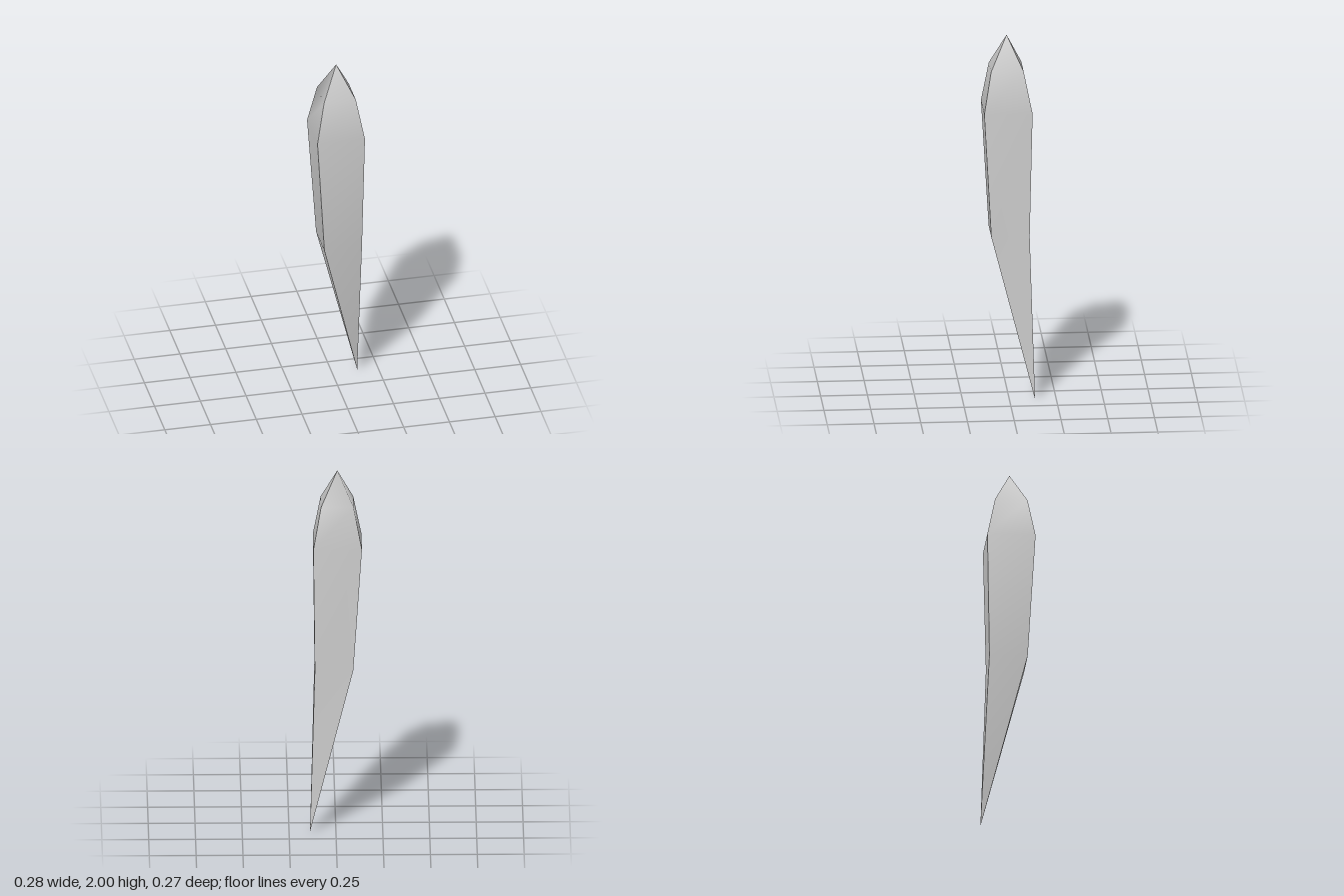
import * as THREE from 'three';

// Square cross-sections from the bottom tip to the top tip: [y, xMin, xMax, zMin, zMax]
const rings = [
  [0, 0.138, 0.138, -0.137, -0.137],
  [0.905, -0.093, 0.112, -0.11, 0.095],
  [1.595, -0.139, 0.12, -0.125, 0.133],
  [1.82, -0.095, 0.079, -0.08, 0.094],
  [2, -0.009, -0.009, 0.005, 0.005],
];

function cornerPoint([y, x0, x1, z0, z1], corner) {
  return [[x0, y, z1], [x1, y, z1], [x1, y, z0], [x0, y, z0]][corner];
}

// Four flat-sided strips; vertices are shared only along the strip, so the long edges stay sharp
function createCrystalGeometry() {
  const positions = [], index = [], ids = new Map();
  const last = rings.length - 1;

  const vertex = (side, level, corner) => {
    const isTip = level === 0 || level === last;
    // The back and left sides blend smoothly into each other near the top
    const blended = level === last ? side >= 2 : level === last - 1 && corner === 3;
    const key = `${blended ? 'blend' : side}/${level}/${isTip ? 'tip' : corner}`;
    if (!ids.has(key)) {
      ids.set(key, positions.length / 3);
      positions.push(...cornerPoint(rings[level], corner));
    }
    return ids.get(key);
  };

  for (let side = 0; side < 4; side++) {
    const next = (side + 1) % 4;
    for (let level = 0; level < last; level++) {
      const a = vertex(side, level, side), b = vertex(side, level, next);
      const c = vertex(side, level + 1, next), d = vertex(side, level + 1, side);
      if (a !== b) index.push(a, b, c);
      if (c !== d) index.push(a, c, d);
    }
  }

  const geometry = new THREE.BufferGeometry();
  geometry.setAttribute('position', new THREE.Float32BufferAttribute(positions, 3));
  geometry.setIndex(index);
  geometry.computeVertexNormals();
  return geometry;
}

export function createModel() {
  const group = new THREE.Group();
  group.name = 'crystalShard';
  const shard = new THREE.Mesh(
    createCrystalGeometry(),
    new THREE.MeshStandardMaterial({ color: 0xcccccc })
  );
  shard.name = 'shard';
  group.add(shard);
  return group;
}
